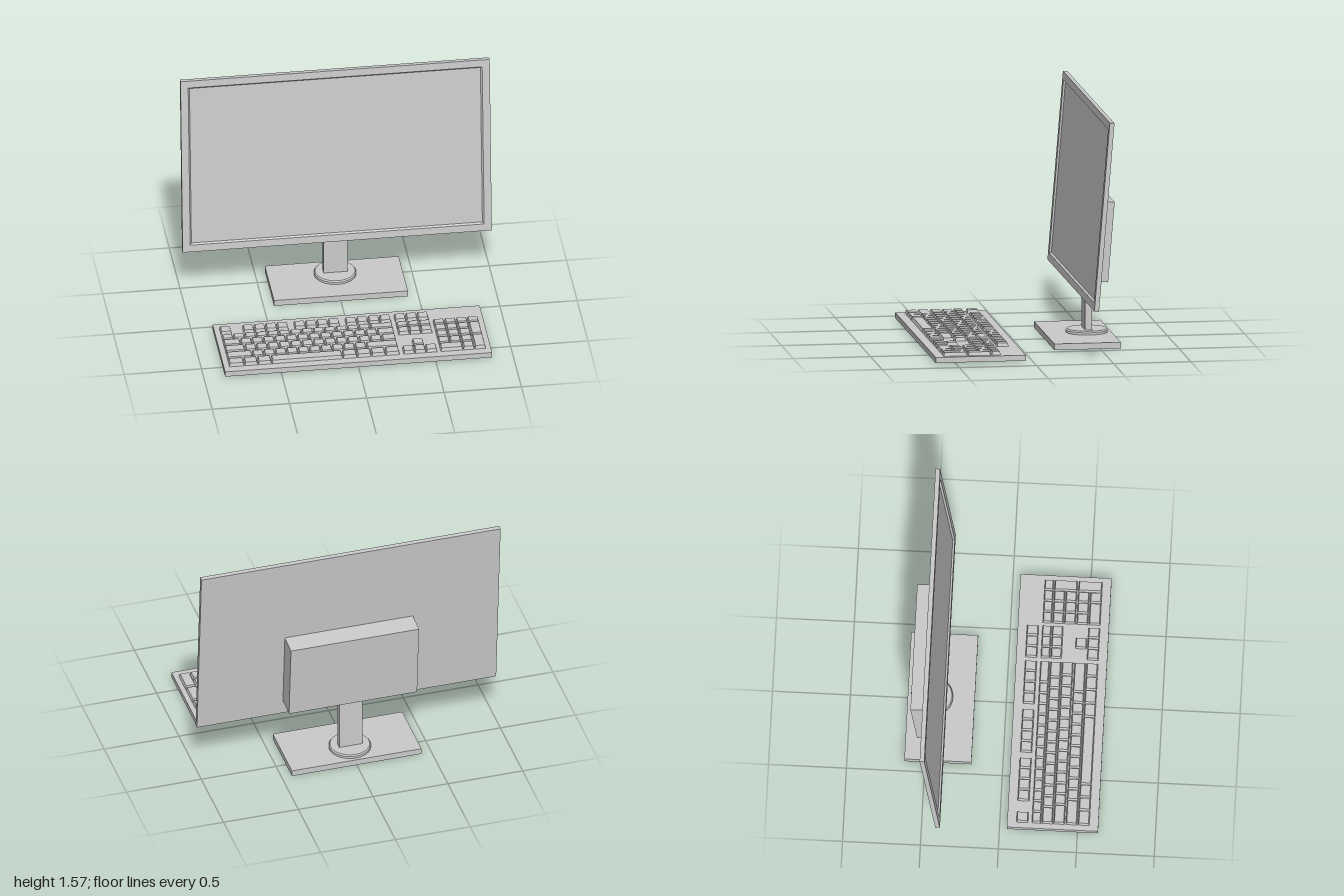
import * as THREE from 'three';
import { mergeGeometries } from 'three/addons/utils/BufferGeometryUtils.js';

const mat = new THREE.MeshStandardMaterial({ color: 0xcccccc });
const shellMat = new THREE.MeshStandardMaterial({ color: 0xcccccc, side: THREE.DoubleSide });

function add(parent, name, geometry, x, y, z, material = mat) {
  const mesh = new THREE.Mesh(geometry, material);
  mesh.name = name;
  mesh.position.set(x, y, z);
  parent.add(mesh);
  return mesh;
}

// Counter-clockwise rectangle outline
function rect(path, x0, y0, x1, y1) {
  path.moveTo(x0, y0);
  path.lineTo(x1, y0);
  path.lineTo(x1, y1);
  path.lineTo(x0, y1);
  path.closePath();
  return path;
}

// Box with some faces left out (0 right, 1 left, 2 top, 3 bottom, 4 front, 5 back)
function openBox(w, h, d, missing, inset = 0) {
  const g = new THREE.BoxGeometry(w, h, d);
  const p = g.attributes.position;
  for (let i = 0; i < p.count; i++) {
    if (p.getY(i) > 0) {
      p.setX(i, p.getX(i) - Math.sign(p.getX(i)) * inset);
      p.setZ(i, p.getZ(i) - Math.sign(p.getZ(i)) * inset);
    }
  }
  g.setIndex(Array.from(g.index.array).filter((_, i) => !missing.includes(Math.floor(i / 6))));
  g.clearGroups();
  g.computeVertexNormals();
  return g;
}

function createMonitor() {
  const monitor = new THREE.Group();
  monitor.name = 'monitor';

  // Tilted display: back panel, bezel with sloping inner edge, rear housing
  const display = new THREE.Group();
  display.name = 'display';
  display.position.set(0, 0.953, -0.44);
  display.rotation.x = -0.082;
  monitor.add(display);
  const W = 1, H = 0.613;
  add(display, 'screenPanel', new THREE.BoxGeometry(2 * W, 2 * H, 0.018), 0, 0, -0.006);

  const frame = rect(new THREE.Shape(), -W, -H, W, H);
  frame.holes.push(rect(new THREE.Path(), -W + 0.049, -H + 0.049, W - 0.049, H - 0.049));
  const bezel = new THREE.ExtrudeGeometry(frame, { depth: 0.012, bevelEnabled: false });
  const p = bezel.attributes.position;
  for (let i = 0; i < p.count; i++) {
    if (Math.abs(p.getX(i)) < W - 0.02 && p.getZ(i) < 0.006) {
      p.setX(i, p.getX(i) - Math.sign(p.getX(i)) * 0.01);
      p.setY(i, p.getY(i) - Math.sign(p.getY(i)) * 0.01);
    }
  }
  bezel.computeVertexNormals();
  add(display, 'bezel', bezel, 0, 0, 0.003);
  add(display, 'rearHousing', new THREE.BoxGeometry(0.856, 0.522, 0.138), 0, -0.25, -0.084);

  // Stand
  add(monitor, 'standBase', new THREE.BoxGeometry(0.866, 0.04, 0.43), 0, 0.02, -0.417);
  const collar = new THREE.LatheGeometry([
    [0.135, 0], [0.135, 0.015], [0.128, 0.024], [0, 0.024],
  ].map(([x, y]) => new THREE.Vector2(x, y)), 32).toNonIndexed();
  collar.computeVertexNormals();
  add(monitor, 'standCollar', collar, 0, 0.04, -0.477);
  add(monitor, 'standNeck', new THREE.BoxGeometry(0.154, 0.45, 0.046), 0, 0.275, -0.478);
  return monitor;
}

// Key rows: z range, then [start, widths...] runs in key units
const U = 0.0737, KEY_X = -0.831;
const n = (count) => Array(count).fill(1);
const ROWS = [
  [0.107, 0.182, [[0, 1], [2, ...n(4)], [6.5, ...n(4)], [11, ...n(4)], [15.3, ...n(3)]]],
  [0.206, 0.264, [[0, ...n(13), 2], [15.3, ...n(3)], [18.55, ...n(4)]]],
  [0.27, 0.339, [[0, 1.5, ...n(12), 1.5], [15.3, ...n(3)], [18.55, ...n(3)]]],
  [0.345, 0.416, [[0, 1.75, ...n(12), 1.25], [18.55, ...n(3)]]],
  [0.424, 0.496, [[0, 2.25, ...n(10), 2.75], [16.3, 1], [18.55, ...n(3)]]],
  [0.502, 0.575, [[0, 1.35, 1.2, 1.2, 6.25, 1.25, 1.25, 1.25, 1.25], [15.3, ...n(3)], [18.55, 2, 1]]],
  [0.27, 0.416, [[21.55, 1]]],
  [0.424, 0.575, [[21.55, 1]]],
];

function createKeyboard() {
  const keyboard = new THREE.Group();
  keyboard.name = 'keyboard';
  const x0 = -0.865, x1 = 0.862, z0 = 0.048, z1 = 0.632;
  const bottom = 0.01, top = 0.046, keyHeight = 0.023;

  // Hollow keycaps, each standing over an opening in the top plate
  const plate = rect(new THREE.Shape(), x0, -z1, x1, -z0);
  const keys = [];
  for (const [za, zb, runs] of ROWS) {
    for (const [start, ...widths] of runs) {
      let u = start;
      for (const w of widths) {
        const xa = KEY_X + u * U + 0.002, xb = KEY_X + (u + w) * U - 0.002;
        plate.holes.push(rect(new THREE.Path(), xa, -zb, xb, -za));
        keys.push(openBox(xb - xa, keyHeight, zb - za, [3], 0.006)
          .translate((xa + xb) / 2, top + keyHeight / 2, (za + zb) / 2));
        u += w;
      }
    }
  }
  add(keyboard, 'keys', mergeGeometries(keys), 0, 0, 0, shellMat);
  add(keyboard, 'keyboardTop', new THREE.ShapeGeometry(plate).rotateX(-Math.PI / 2), 0, top, 0, shellMat);

  // Side walls, open underneath
  add(keyboard, 'keyboardSides', openBox(x1 - x0, top - bottom, z1 - z0, [2, 3]),
    (x0 + x1) / 2, (top + bottom) / 2, (z0 + z1) / 2, shellMat);
  return keyboard;
}

export function createModel() {
  const model = new THREE.Group();
  model.name = 'desktopMonitorAndKeyboard';
  model.add(createMonitor(), createKeyboard());
  return model;
}
